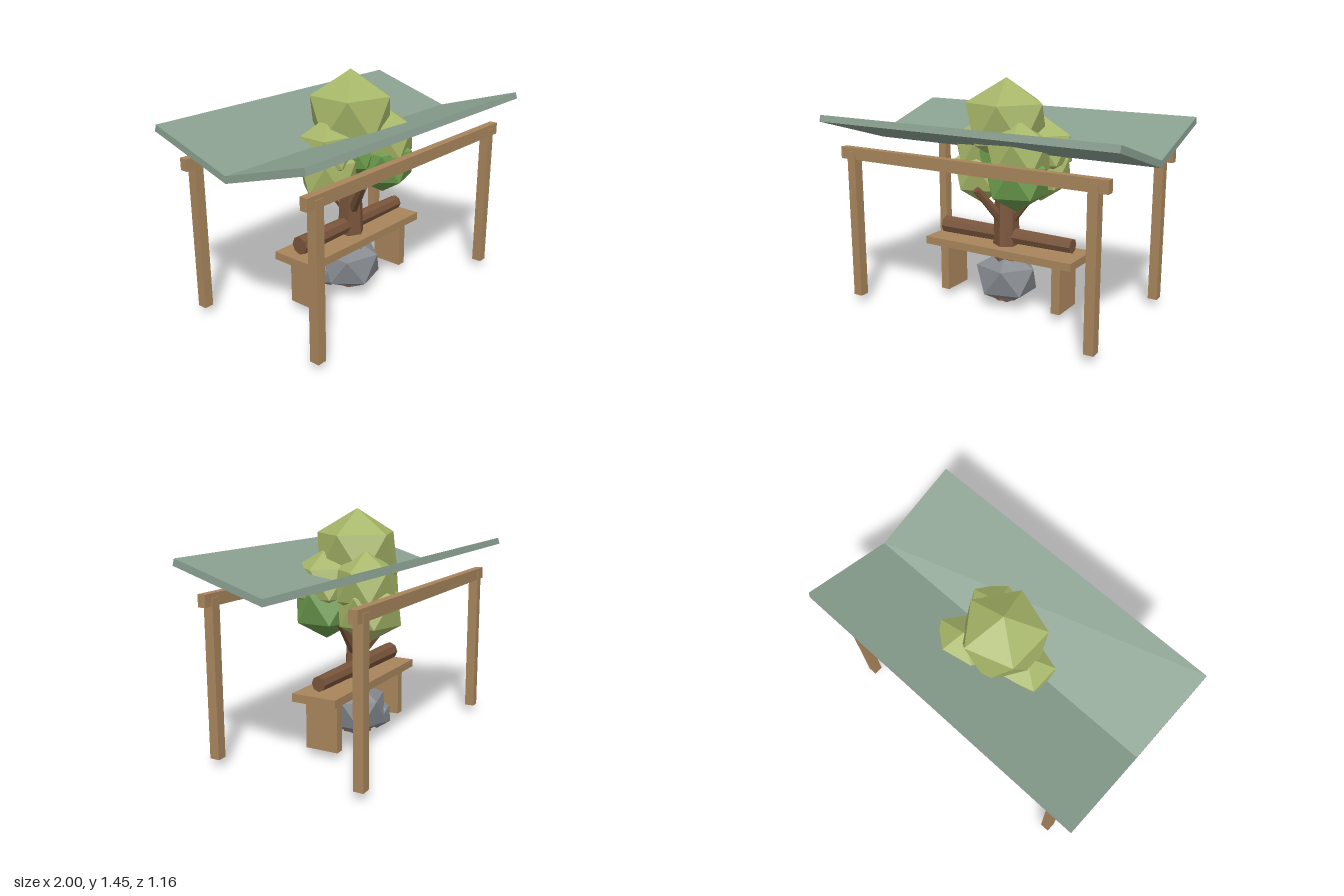
import * as THREE from 'three';
import { ConvexGeometry } from 'three/addons/geometries/ConvexGeometry.js';

const material = (name, color) => {
  const m = new THREE.MeshStandardMaterial({ color });
  m.name = name;
  return m;
};

export function createModel() {
  const model = new THREE.Group();
  model.name = 'treeShelter';
  const timber = material('timber', 0xa8855c);
  const bark = material('bark', 0x78543a);
  const lime = material('limeLeaves', 0xa5b567);
  const green = material('greenLeaves', 0x6b9a4c);
  const stone = material('stone', 0x868a8f);
  const canopy = material('canopyGreen', 0x899f90);

  const add = (name, geometry, mat, x = 0, y = 0, z = 0) => {
    const mesh = new THREE.Mesh(geometry, mat);
    mesh.name = name;
    mesh.position.set(x, y, z);
    model.add(mesh);
    return mesh;
  };
  const box = (name, size, mat, x, y, z) => add(name, new THREE.BoxGeometry(...size), mat, x, y, z);

  // Faceted cylinder with flat faces
  const facetedCylinder = (top, bottom, height, sides) => {
    const g = new THREE.CylinderGeometry(top, bottom, height, sides).toNonIndexed();
    g.computeVertexNormals();
    return g;
  };

  // Twenty-sided blob with a point at the top and bottom
  const blob = (name, mat, [x, y, z], [rx, ry, rz]) => {
    const points = [new THREE.Vector3(0, ry, 0), new THREE.Vector3(0, -ry, 0)];
    for (let i = 0; i < 10; i++) {
      const a = (i * Math.PI) / 5;
      const h = i % 2 ? -0.447 : 0.447;
      points.push(new THREE.Vector3(0.894 * rx * Math.cos(a), h * ry, 0.894 * rz * Math.sin(a)));
    }
    return add(name, new ConvexGeometry(points), mat, x, y, z);
  };

  // V-shaped butterfly roof
  const profile = [[0, 1.005], [0.58, 1.18], [0.568, 1.22], [0, 1.047], [-0.568, 1.22], [-0.58, 1.18]];
  const roofShape = new THREE.Shape(profile.map(([z, y]) => new THREE.Vector2(z, y)));
  const roof = new THREE.ExtrudeGeometry(roofShape, { depth: 2, bevelEnabled: false });
  roof.translate(0, 0, -1).rotateY(Math.PI / 2);
  add('roof', roof, canopy);

  // Posts and beams
  for (const z of [-0.47, 0.47]) {
    box('beam', [1.82, 0.074, 0.05], timber, 0, 0.983, z);
    for (const x of [-0.825, 0.825]) box('post', [0.06, 0.945, 0.062], timber, x, 0.5225, z);
  }

  // Bench
  box('benchSeat', [1.06, 0.05, 0.29], timber, 0, 0.38, 0);
  for (const x of [-0.412, 0.412]) box('benchLeg', [0.058, 0.305, 0.212], timber, x, 0.2025, 0);

  // Log lying along the bench
  add('log', facetedCylinder(0.057, 0.046, 0.94, 8), bark, 0, 0.465, 0).rotation.z = Math.PI / 2;

  // Trunk and its three branches
  add('trunk', facetedCylinder(0.065, 0.1, 0.85, 6), bark, 0, 0.475, 0);
  for (let i = 0; i < 3; i++) {
    const a = (i * Math.PI * 2) / 3;
    const start = new THREE.Vector3(0.02 * Math.cos(a), 0.55, 0.02 * Math.sin(a));
    const end = new THREE.Vector3(0.21 * Math.cos(a), 0.78, 0.21 * Math.sin(a));
    const along = end.clone().sub(start);
    const mid = start.clone().add(end).multiplyScalar(0.5);
    const branch = add('branch', facetedCylinder(0.024, 0.034, along.length(), 6), bark, mid.x, mid.y, mid.z);
    branch.quaternion.setFromUnitVectors(new THREE.Vector3(0, 1, 0), along.normalize());
  }

  // Foliage: a core, three stacked pairs and the crown
  blob('foliageCore', green, [0, 0.965, 0], [0.2, 0.2, 0.2]);
  blob('lowerFoliage', green, [0.155, 0.865, 0.13], [0.215, 0.2, 0.21]);
  blob('lowerFoliage', lime, [0.155, 0.87, -0.165], [0.215, 0.2, 0.215]);
  blob('lowerFoliage', lime, [-0.19, 0.845, -0.01], [0.2, 0.2, 0.19]);
  blob('upperFoliage', lime, [0.16, 1.02, 0.125], [0.215, 0.2, 0.21]);
  blob('upperFoliage', lime, [0.17, 1.02, -0.15], [0.215, 0.2, 0.2]);
  blob('upperFoliage', lime, [-0.185, 1.0, -0.015], [0.2, 0.2, 0.18]);
  blob('crown', lime, [0, 1.185, 0], [0.28, 0.27, 0.28]);

  // Boulder and a smaller stone beside it
  blob('boulder', stone, [0, 0.185, 0], [0.222, 0.182, 0.2]);
  blob('smallStone', stone, [-0.11, 0.13, -0.085], [0.105, 0.1, 0.098]);

  return model;
}
